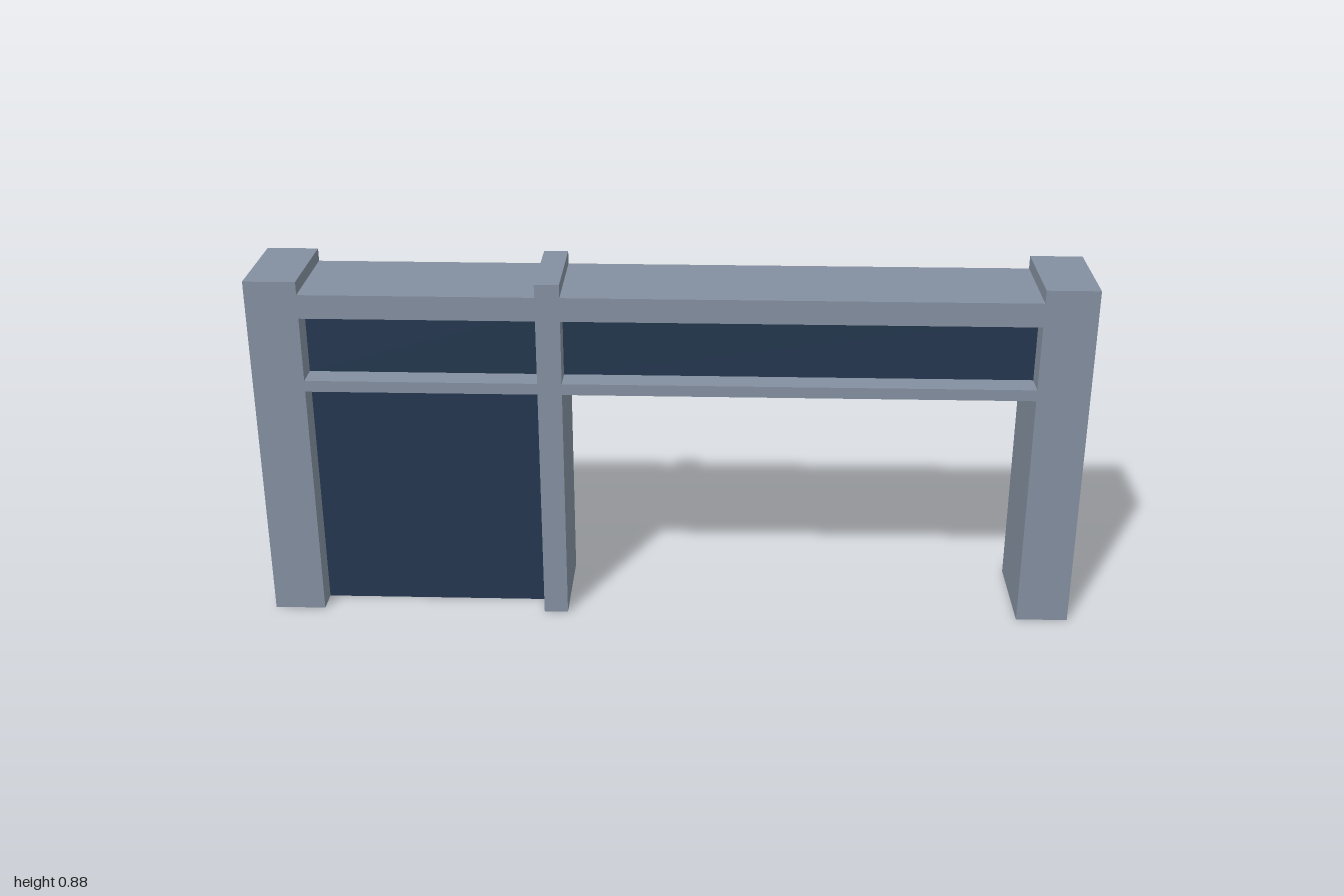
import * as THREE from 'three';

export function createModel() {
  const model = new THREE.Group();
  model.name = 'storefrontFrame';

  const frame = new THREE.MeshStandardMaterial({ color: 0x838f9f });
  frame.name = 'greyFrame';
  const glass = new THREE.MeshStandardMaterial({ color: 0x23364e });
  glass.name = 'darkBluePanel';

  const DEPTH = 0.25, PANEL_DEPTH = 0.125;

  // Box given by its left, right, bottom and top edges, centred in depth
  function slab(name, x0, x1, y0, y1, depth, material) {
    const mesh = new THREE.Mesh(new THREE.BoxGeometry(x1 - x0, y1 - y0, depth), material);
    mesh.position.set((x0 + x1) / 2, (y0 + y1) / 2, 0);
    mesh.name = name;
    model.add(mesh);
  }

  // Posts rise a little above the beams
  slab('rightPost', -1, -0.875, 0, 0.875, DEPTH, frame);
  slab('middlePost', -0.315, -0.256, 0, 0.875, DEPTH, frame);
  slab('leftPost', 0.873, 1, 0, 0.875, DEPTH, frame);

  // Each bay has a top beam, a thin rail and a recessed upper panel
  for (const [side, x0, x1] of [['right', -0.875, -0.315], ['left', -0.256, 0.873]]) {
    slab(side + 'TopBeam', x0, x1, 0.784, 0.843, DEPTH, frame);
    slab(side + 'Rail', x0, x1, 0.597, 0.625, DEPTH, frame);
    slab(side + 'UpperPanel', x0, x1, 0.625, 0.784, PANEL_DEPTH, glass);
  }

  // The narrow bay is closed to the ground, the wide one stays open
  slab('lowerPanel', -0.875, -0.315, 0, 0.597, PANEL_DEPTH, glass);

  return model;
}
